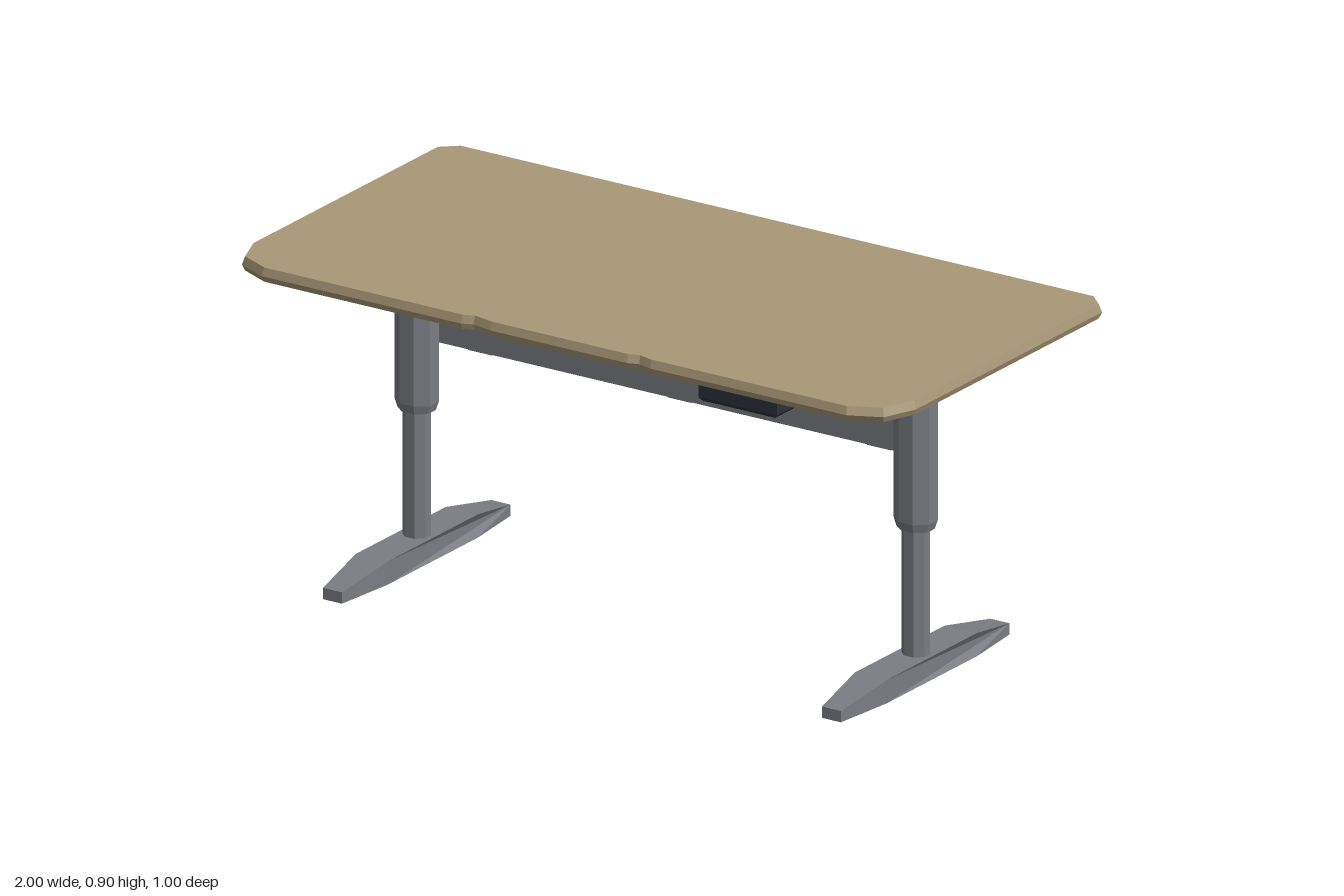
import * as THREE from 'three';

const material = (color) => new THREE.MeshStandardMaterial({ color, flatShading: true });

const shapeOf = (points) => new THREE.Shape(points.map(([x, y]) => new THREE.Vector2(x, y)));

// Moves every vertex by a rule, then refreshes the normals
function reshape(geometry, rule) {
  const p = geometry.attributes.position;
  const v = new THREE.Vector3();
  for (let i = 0; i < p.count; i++) {
    v.fromBufferAttribute(p, i);
    rule(v);
    p.setXYZ(i, v.x, v.y, v.z);
  }
  geometry.computeVertexNormals();
  return geometry;
}

// Plan outline (x, -z) raised from y0 to y1
function upright(points, y0, y1, steps = 1) {
  const g = new THREE.ExtrudeGeometry(shapeOf(points), { depth: y1 - y0, bevelEnabled: false, steps });
  return g.rotateX(-Math.PI / 2).translate(0, y0, 0);
}

// Side profile (z, y) spread over a width centred on x = 0
function sideways(points, width) {
  const flipped = points.map(([z, y]) => [-z, y]);
  const g = new THREE.ExtrudeGeometry(shapeOf(flipped), { depth: width, bevelEnabled: false });
  return g.translate(0, 0, -width / 2).rotateY(Math.PI / 2);
}

// Eight-sided column section: half sizes and half widths of the flats
const octagon = (hx, hz, fx, fz) => [
  [hx, -fz], [hx, fz], [fx, hz], [-fx, hz], [-hx, fz], [-hx, -fz], [-fx, -hz], [fx, -hz],
];

export function createModel() {
  const desk = new THREE.Group();
  desk.name = 'desk';
  const wood = material(0xa89878);
  const steel = material(0x7b7d83);
  const dark = material(0x2c303a);

  function add(parent, name, geometry, mat, x = 0, y = 0, z = 0) {
    const mesh = new THREE.Mesh(geometry, mat);
    mesh.name = name;
    mesh.position.set(x, y, z);
    parent.add(mesh);
    return mesh;
  }

  // Table top: clipped corners, two shallow front notches, edge widest below its middle
  const outline = [
    [-1, 0.46], [-1, -0.37], [-0.965, -0.46], [-0.88, -0.5],
    [-0.28, -0.5], [-0.25, -0.488], [-0.19, -0.5],
    [0.22, -0.5], [0.25, -0.49], [0.29, -0.5],
    [0.88, -0.5], [0.965, -0.46], [1, -0.37], [1, 0.46], [0.957, 0.5], [-0.957, 0.5],
  ];
  const top = reshape(upright(outline, 0.862, 0.9, 2), (v) => {
    if (Math.abs(v.y - 0.881) < 0.005) v.y = 0.878;
    else {
      v.x *= 0.994;
      v.z *= 0.988;
    }
  });
  add(desk, 'tableTop', top, wood);

  // Legs: foot, inner column, outer column with tapered collar, support rail
  for (const side of [-1, 1]) {
    const leg = new THREE.Group();
    leg.name = side > 0 ? 'leftLeg' : 'rightLeg';
    leg.position.x = side * 0.75;
    desk.add(leg);

    const foot = sideways([
      [0.375, 0], [0.375, 0.03], [0.2, 0.062], [-0.2, 0.062],
      [-0.375, 0.03], [-0.375, 0], [-0.2, 0], [0.2, 0],
    ], 0.096);
    add(leg, 'foot', reshape(foot, (v) => { if (Math.abs(v.z) > 0.3) v.x *= 0.6; }), steel);

    add(leg, 'innerColumn', upright(octagon(0.035, 0.031, 0.014, 0.012), 0.06, 0.42), steel);

    const section = octagon(0.053, 0.045, 0.021, 0.02);
    add(leg, 'outerColumn', upright(section, 0.42, 0.812), steel);
    const collar = reshape(upright(section, 0.397, 0.42), (v) => {
      if (v.y < 0.41) {
        v.x *= 0.87;
        v.z *= 0.87;
      }
    });
    add(leg, 'columnCollar', collar, steel);

    const rail = upright([
      [-0.055, 0.287], [-0.055, -0.287], [0.055, -0.287], [0.055, 0.287],
    ], 0.815, 0.862);
    add(leg, 'supportRail', rail, steel);
    const railEdge = reshape(new THREE.BoxGeometry(0.11, 0.01, 0.574), (v) => {
      if (v.y < 0) v.x *= 0.85;
    });
    add(leg, 'railLowerEdge', railEdge, steel, 0, 0.81, 0);
  }

  // Modesty panel between the legs
  add(desk, 'modestyPanel', new THREE.BoxGeometry(1.5, 0.283, 0.023), steel, 0, 0.7085, -0.055);

  // Hooks under the back of the panel
  const hook = sideways([
    [-0.06, 0.558], [-0.06, 0.576], [-0.153, 0.576], [-0.153, 0.598],
    [-0.173, 0.598], [-0.173, 0.558],
  ], 0.072);
  for (const x of [-0.6, 0, 0.6]) add(desk, 'hook', hook, steel, x);

  // Height control under the front edge, narrowing slightly downwards
  const control = reshape(new THREE.BoxGeometry(0.236, 0.042, 0.094, 1, 2, 1), (v) => {
    if (v.y < -0.01) {
      v.x *= 0.93;
      v.z *= 0.9;
    } else if (v.y < 0.01) v.y = -0.012;
  });
  add(desk, 'heightControl', control, dark, 0.547, 0.841, 0.445);

  return desk;
}
